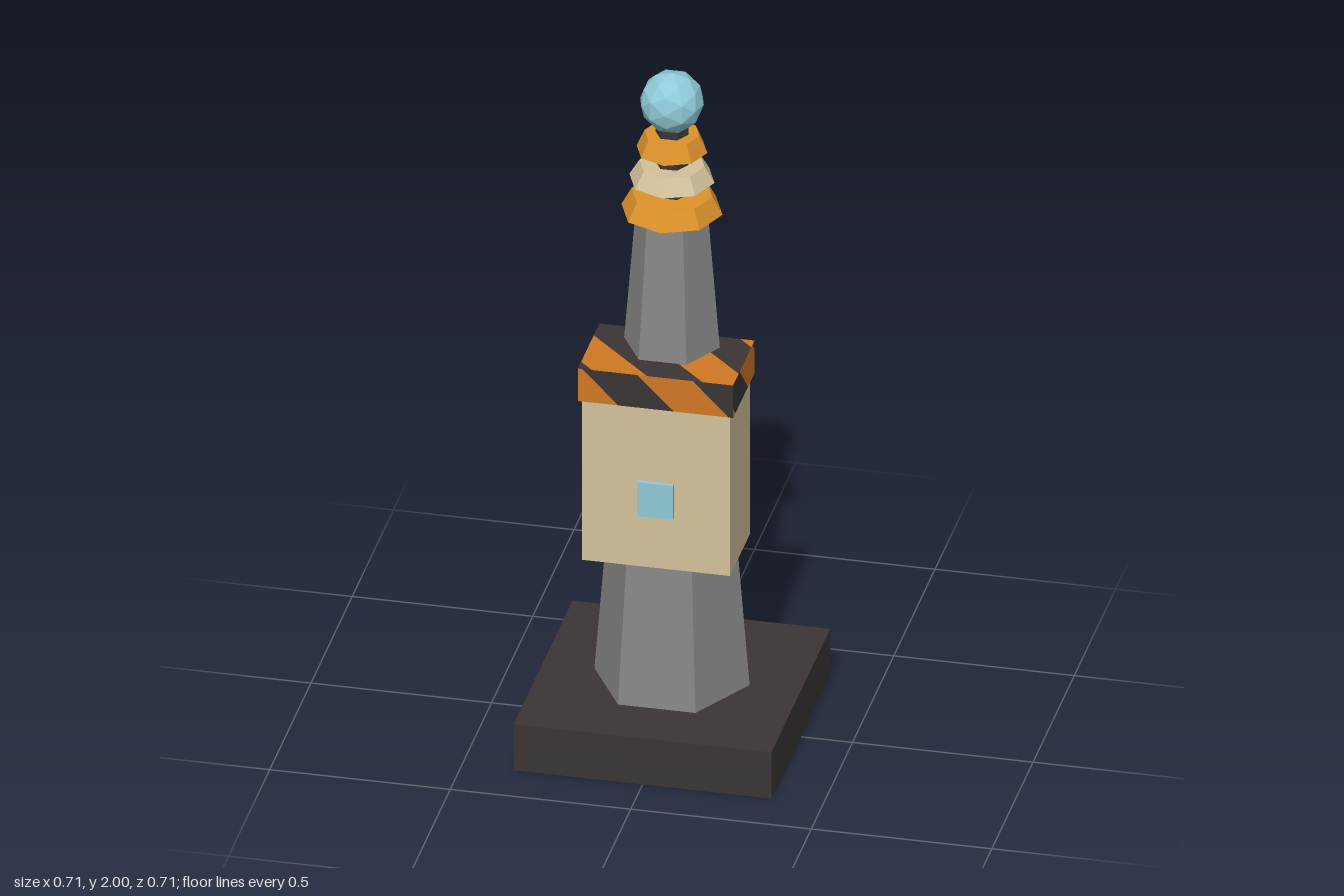
import * as THREE from 'three';

const mat = (name, color) => {
  const m = new THREE.MeshStandardMaterial({ color });
  m.name = name;
  m.flatShading = true;
  return m;
};

export function createModel() {
  const model = new THREE.Group();
  model.name = 'beaconTower';
  const dark = mat('charcoal', 0x3b3535);
  const grey = mat('steelGrey', 0x878786);
  const cream = mat('cream', 0xd3c19b);
  const amber = mat('amber', 0xdd922b);
  const orange = mat('hazardOrange', 0xd07824);
  const blue = mat('paleBlue', 0x8fcad8);

  const add = (name, geo, material, x, y, z, parent = model) => {
    const mesh = new THREE.Mesh(geo, material);
    mesh.name = name;
    mesh.position.set(x, y, z);
    parent.add(mesh);
    return mesh;
  };
  // Upright tapered prism between two heights
  const prism = (name, rTop, rBottom, y0, y1, sides, material) =>
    add(name, new THREE.CylinderGeometry(rTop, rBottom, y1 - y0, sides), material, 0, (y0 + y1) / 2, 0);

  // Plinth and hexagonal shaft
  add('base', new THREE.BoxGeometry(0.714, 0.142, 0.714), dark, 0, 0.071, 0);
  prism('shaft', 0.098, 0.215, 0.142, 1.6, 6, grey).rotation.y = Math.PI / 6;
  prism('mast', 0.046, 0.046, 1.59, 1.86, 6, dark).rotation.y = Math.PI / 6;

  // Octagonal collars around the mast
  prism('lowerCollar', 0.112, 0.14, 1.58, 1.632, 8, amber);
  prism('middleCollar', 0.09, 0.118, 1.675, 1.722, 8, cream);
  prism('upperCollar', 0.076, 0.098, 1.765, 1.815, 8, amber);

  // Faceted beacon
  add('beacon', new THREE.IcosahedronGeometry(0.088, 1), blue, 0, 1.912, 0);

  // Equipment cabinet and its front light
  add('cabinet', new THREE.BoxGeometry(0.41, 0.49, 0.245), cream, 0, 0.825, 0.0725);
  add('cabinetLight', new THREE.BoxGeometry(0.1, 0.104, 0.02), blue, 0, 0.792, 0.197);

  // Cabinet lid: every face is cut into diagonal hazard stripes
  const lid = new THREE.Group();
  lid.name = 'stripedLid';
  lid.position.set(0, 1.12, 0.07);
  model.add(lid);

  // Keep the part of a convex polygon where sign * (u + v - limit) >= 0
  const clip = (poly, limit, sign) => {
    const out = [];
    poly.forEach((p, i) => {
      const q = poly[(i + 1) % poly.length];
      const dp = sign * (p.x + p.y - limit);
      const dq = sign * (q.x + q.y - limit);
      if (dp >= 0) out.push(p);
      if (dp * dq < 0) out.push(p.clone().lerp(q, dp / (dp - dq)));
    });
    return out;
  };
  const stripe = 0.153;
  const stripedFace = (name, w, h, depth, rx, ry) => {
    const face = new THREE.Group();
    face.name = name;
    face.rotation.set(rx, ry, 0);
    lid.add(face);
    const rect = [[-1, -1], [1, -1], [1, 1], [-1, 1]].map(([a, b]) => new THREE.Vector2(a * w / 2, b * h / 2));
    for (let k = -4; k < 4; k++) {
      const part = clip(clip(rect, k * stripe, 1), (k + 1) * stripe, -1);
      if (part.length < 3) continue;
      const even = k % 2 === 0;
      add(even ? 'orangeStripe' : 'darkStripe', new THREE.ShapeGeometry(new THREE.Shape(part)),
        even ? orange : dark, 0, 0, depth / 2, face);
    }
  };
  const W = 0.43, H = 0.1, D = 0.26, q = Math.PI / 2;
  stripedFace('lidFront', W, H, D, 0, 0);
  stripedFace('lidBack', W, H, D, 0, Math.PI);
  stripedFace('lidLeft', D, H, W, 0, q);
  stripedFace('lidRight', D, H, W, 0, -q);
  stripedFace('lidTop', W, D, H, -q, 0);
  stripedFace('lidUnderside', W, D, H, q, 0);

  return model;
}
